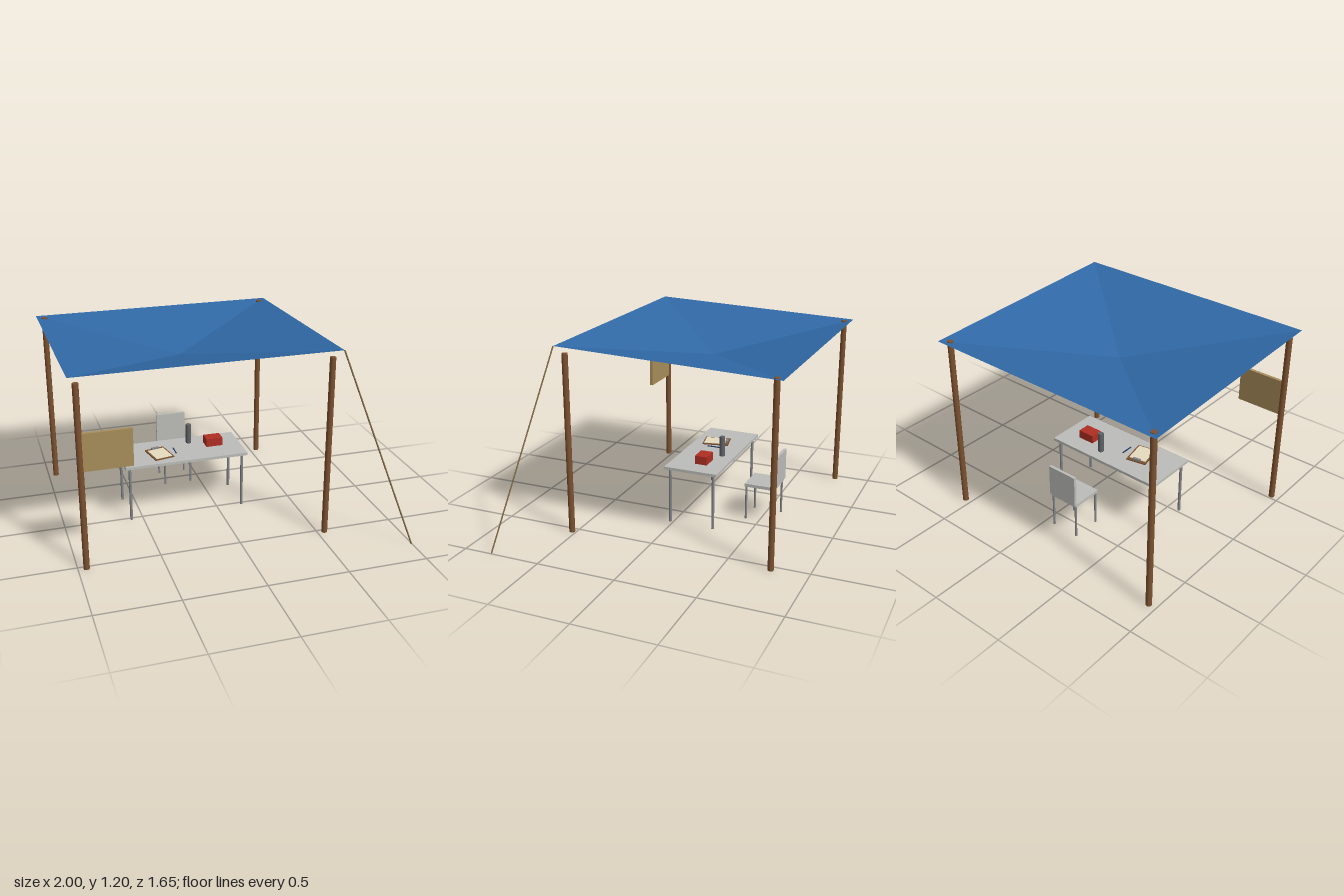
import * as THREE from 'three';

const mat = (name, color) => Object.assign(new THREE.MeshStandardMaterial({ color }), { name });

export function createModel() {
  const root = new THREE.Group();
  root.name = 'fieldStation';

  const tarpBlue = mat('tarpBlue', 0x3069a6);
  tarpBlue.side = THREE.DoubleSide;
  const wood = mat('poleWood', 0x7d5230);
  const ropeTan = mat('ropeTan', 0x87704a);
  const boardTan = mat('boardTan', 0xa98e5a);
  const lightGrey = mat('lightGrey', 0xbdbdba);
  const metal = mat('legMetal', 0x84878a);
  const darkMetal = mat('flaskGrey', 0x5f6468);
  const red = mat('boxRed', 0xb02e22);
  const paper = mat('paper', 0xe6dcc0);
  const penBlue = mat('penBlue', 0x1f3a68);

  const add = (parent, name, geo, material, x = 0, y = 0, z = 0) => {
    const mesh = new THREE.Mesh(geo, material);
    mesh.name = name;
    mesh.position.set(x, y, z);
    parent.add(mesh);
    return mesh;
  };
  const group = (name, x = 0, y = 0, z = 0) => {
    const g = new THREE.Group();
    g.name = name;
    g.position.set(x, y, z);
    root.add(g);
    return g;
  };
  const box = (w, h, d) => new THREE.BoxGeometry(w, h, d);
  const rod = (r, h, sides = 12) => new THREE.CylinderGeometry(r, r, h, sides);

  // Four upright poles
  const poles = group('poles');
  for (const x of [-0.95, 0.545])
    for (const z of [0.525, -0.775]) add(poles, 'pole', rod(0.0185, 1.15), wood, x, 0.575, z);

  // Sagging tarp: four flat triangles meeting at a low centre
  const corners = [[-1, 1.2, 0.57], [0.595, 1.2, 0.57], [0.595, 1.15, -0.825], [-1, 1.15, -0.825]];
  const centre = [-0.2, 1.03, -0.128];
  const points = corners.flatMap((c, i) => [...c, ...corners[(i + 1) % 4], ...centre]);
  const tarpGeo = new THREE.BufferGeometry();
  tarpGeo.setAttribute('position', new THREE.Float32BufferAttribute(points, 3));
  tarpGeo.computeVertexNormals();
  add(root, 'tarp', tarpGeo, tarpBlue);

  // Guy rope from the front corner to the ground
  const rope = new THREE.LineCurve3(new THREE.Vector3(0.595, 1.2, 0.57), new THREE.Vector3(0.995, 0, 0.82));
  add(root, 'guyRope', new THREE.TubeGeometry(rope, 1, 0.005, 6), ropeTan);

  // Notice board fixed to the front pole
  add(root, 'noticeBoard', box(0.3, 0.23, 0.02), boardTan, -0.798, 0.74, 0.525);

  // Table
  const table = group('table', -0.205, 0, -0.125);
  add(table, 'tableTop', box(0.8, 0.018, 0.35), lightGrey, 0, 0.372, 0);
  for (const x of [-0.37, 0.37])
    for (const z of [-0.145, 0.145]) add(table, 'tableLeg', rod(0.009, 0.364), metal, x, 0.182, z);

  // Chair, facing the table
  const chair = group('chair', -0.155, 0, -0.5);
  add(chair, 'seat', box(0.2, 0.02, 0.2), lightGrey, 0, 0.233, 0);
  add(chair, 'backrest', box(0.2, 0.2, 0.018), lightGrey, 0, 0.342, -0.1);
  for (const x of [-0.09, 0.09])
    for (const z of [-0.09, 0.09]) add(chair, 'chairLeg', rod(0.007, 0.225), metal, x, 0.1125, z);

  // Flask and box on the table
  add(root, 'flask', rod(0.018, 0.13, 16), darkMetal, -0.128, 0.446, -0.217);
  add(root, 'redBox', box(0.108, 0.054, 0.08), red, 0.02, 0.408, -0.15);

  // Clipboard with sheet and clip
  const clipboard = group('clipboard', -0.355, 0.381, -0.093);
  clipboard.rotation.y = 0.2;
  add(clipboard, 'backingBoard', box(0.13, 0.007, 0.17), wood, 0, 0.0035, 0);
  add(clipboard, 'sheet', box(0.11, 0.002, 0.14), paper, 0, 0.008, 0.007);
  add(clipboard, 'clip', box(0.05, 0.012, 0.016), metal, 0, 0.013, -0.07);

  // Pen
  const pen = add(root, 'pen', rod(0.004, 0.08, 8), penBlue, -0.25, 0.385, -0.11);
  pen.rotation.x = Math.PI / 2;

  return root;
}
